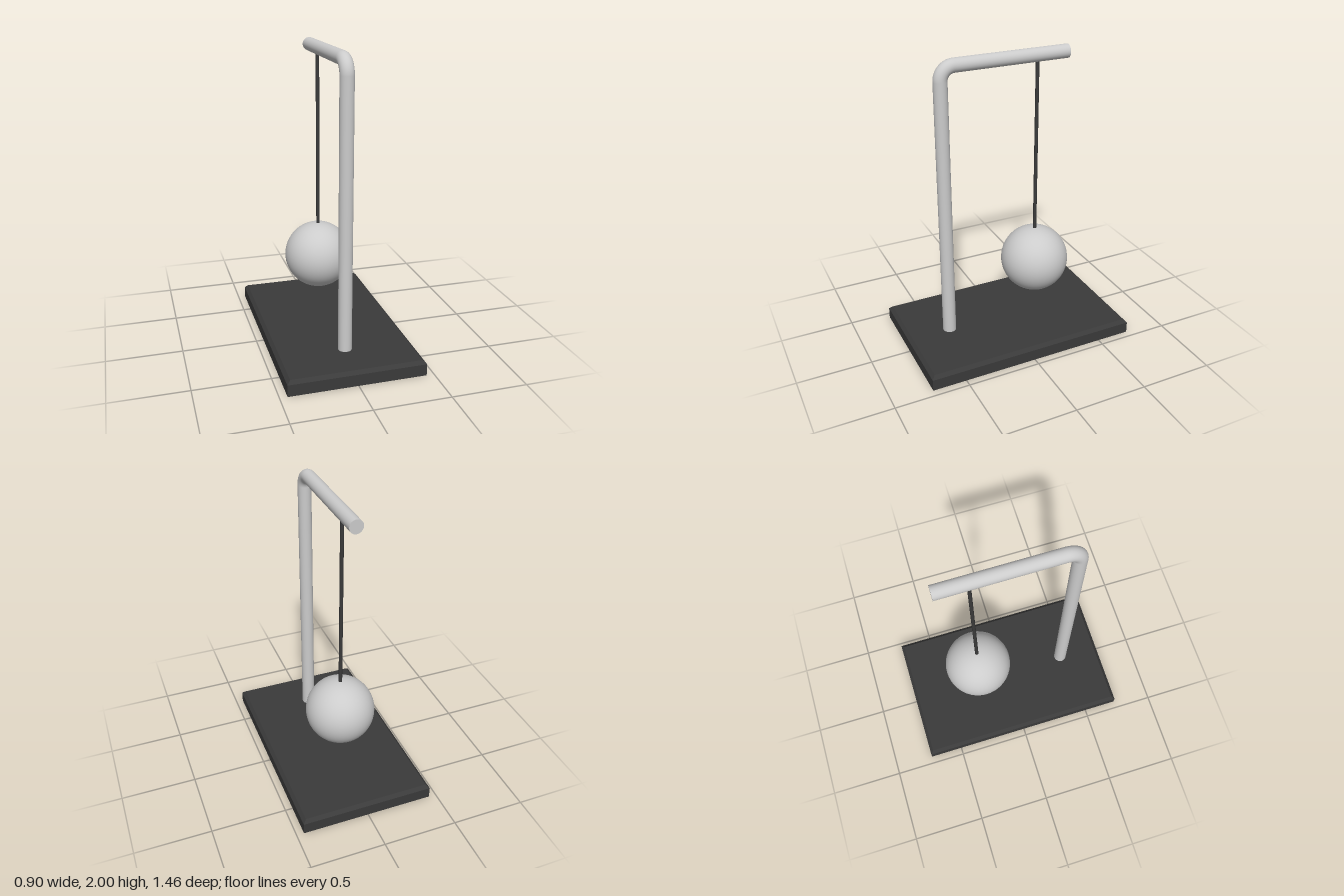
import * as THREE from 'three';

const grey = new THREE.MeshStandardMaterial({ color: 0xcccccc });
const dark = new THREE.MeshStandardMaterial({ color: 0x3a3a3a });
const darkFlat = new THREE.MeshStandardMaterial({ color: 0x3a3a3a, flatShading: true });

function part(parent, name, geometry, material, x, y, z) {
  const mesh = new THREE.Mesh(geometry, material);
  mesh.name = name;
  mesh.position.set(x, y, z);
  parent.add(mesh);
  return mesh;
}

// Slab standing on y = 0 with its top edges chamfered
function chamferedSlab(width, height, depth, chamfer) {
  const geometry = new THREE.BoxGeometry(width, height, depth, 1, 2, 1);
  geometry.translate(0, height / 2, 0);
  const p = geometry.attributes.position;
  for (let i = 0; i < p.count; i++) {
    const y = p.getY(i);
    if (y > height * 0.75) {
      p.setX(i, p.getX(i) - Math.sign(p.getX(i)) * chamfer);
      p.setZ(i, p.getZ(i) - Math.sign(p.getZ(i)) * chamfer);
    } else if (y > height * 0.25) {
      p.setY(i, height - chamfer);
    }
  }
  geometry.computeVertexNormals();
  return geometry;
}

export function createModel() {
  const model = new THREE.Group();
  model.name = 'pendulumStand';

  // Base plate
  const baseTop = 0.1;
  part(model, 'base', chamferedSlab(0.9, baseTop, 1.46, 0.022), darkFlat, 0, 0, 0);

  // Bent tube: upright post, quarter bend and horizontal arm
  const r = 0.045, bend = 0.09, postZ = 0.435, armY = 1.955, armEnd = -0.43;
  const bendY = armY - bend, bendZ = postZ - bend;
  const stand = new THREE.Group();
  stand.name = 'stand';
  model.add(stand);

  const postFoot = baseTop - 0.01;
  part(stand, 'post', new THREE.CylinderGeometry(r, r, bendY - postFoot, 32, 1, true),
    grey, 0, (bendY + postFoot) / 2, postZ);
  part(stand, 'bend', new THREE.TorusGeometry(bend, r, 32, 16, Math.PI / 2),
    grey, 0, bendY, bendZ).rotation.y = -Math.PI / 2;
  part(stand, 'arm', new THREE.CylinderGeometry(r, r, bendZ - armEnd, 32, 1, true),
    grey, 0, armY, (bendZ + armEnd) / 2).rotation.x = Math.PI / 2;
  part(stand, 'armEndCap', new THREE.CircleGeometry(r, 32),
    grey, 0, armY, armEnd).rotation.y = Math.PI;

  // Hanging rod and ball
  const ballR = 0.232, ballY = 0.51, hangZ = -0.217;
  const rodTop = armY - r + 0.01, rodBottom = ballY + ballR - 0.01;
  part(model, 'rod', new THREE.CylinderGeometry(0.012, 0.012, rodTop - rodBottom, 16),
    dark, 0, (rodTop + rodBottom) / 2, hangZ);
  part(model, 'ball', new THREE.SphereGeometry(ballR, 48, 32), grey, 0, ballY, hangZ);

  return model;
}
